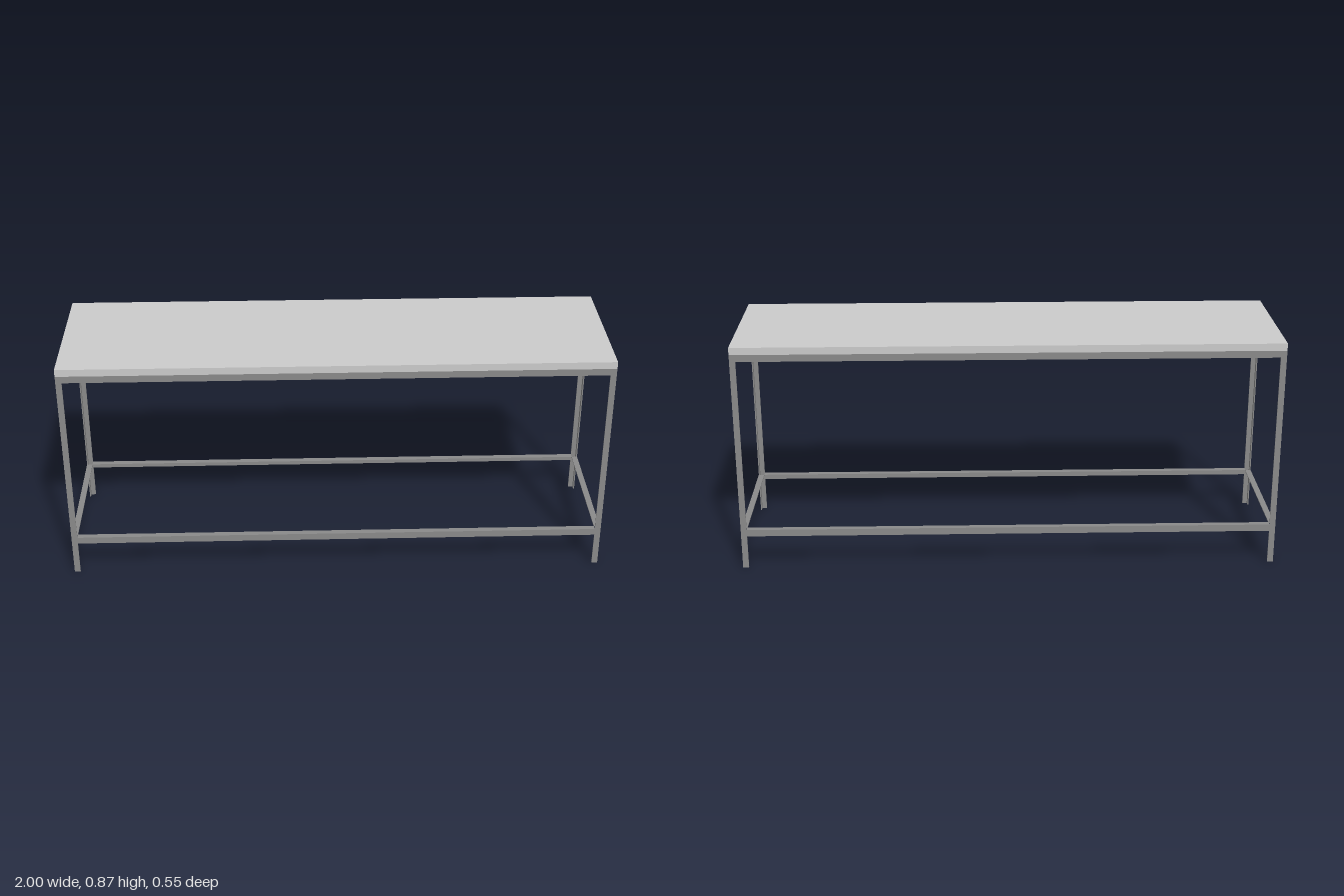
import * as THREE from 'three';

const HX = 1, HZ = 0.277;      // half length and half depth
const TOP = 0.867, FRAME = 0.84; // top of slab, top of steel frame
const W = 0.022, T = 0.004;    // leg angle-iron flange width and thickness
const RAIL_H = 0.026;

// L-shaped bar: outer corner on the z axis, flanges along +x and +y
function angleBar(length, wx, wy) {
  const shape = new THREE.Shape([
    [0, 0], [wx, 0], [wx, T], [T, T], [T, wy], [0, wy],
  ].map(([x, y]) => new THREE.Vector2(x, y)));
  return new THREE.ExtrudeGeometry(shape, { depth: length, bevelEnabled: false });
}

export function createModel() {
  const model = new THREE.Group();
  const steel = new THREE.MeshStandardMaterial({ color: 0x8a8a8a });
  const topMat = new THREE.MeshStandardMaterial({ color: 0xcccccc });

  const add = (name, geometry, material, x, y, z, turn = 0) => {
    const mesh = new THREE.Mesh(geometry, material);
    mesh.name = name;
    mesh.position.set(x, y, z);
    mesh.rotation.y = turn;
    model.add(mesh);
  };

  // Slab worktop
  add('tabletop', new THREE.BoxGeometry(2 * HX, TOP - FRAME, 2 * HZ), topMat, 0, (TOP + FRAME) / 2, 0);

  // Angle-iron legs, open side facing inward
  const leg = angleBar(FRAME, W, W).rotateX(-Math.PI / 2);
  [['frontRightLeg', -HX, HZ], ['frontLeftLeg', HX, HZ], ['backLeftLeg', HX, -HZ], ['backRightLeg', -HX, -HZ]]
    .forEach(([name, x, z], k) => add(name, leg, steel, x, 0, z, k * Math.PI / 2));

  // Angle-iron rails between the legs: vertical flange outside, flat flange on top
  const rail = (length) => angleBar(length, W, RAIL_H).translate(0, 0, -length / 2).rotateZ(Math.PI);
  const longRail = rail(2 * (HX - W)), sideRail = rail(2 * (HZ - W));
  for (const [level, y] of [['upper', FRAME], ['lower', 0.155]]) {
    add(level + 'LeftRail', sideRail, steel, HX, y, 0, 0);
    add(level + 'RightRail', sideRail, steel, -HX, y, 0, Math.PI);
    add(level + 'FrontRail', longRail, steel, 0, y, HZ, -Math.PI / 2);
    add(level + 'BackRail', longRail, steel, 0, y, -HZ, Math.PI / 2);
  }
  return model;
}
